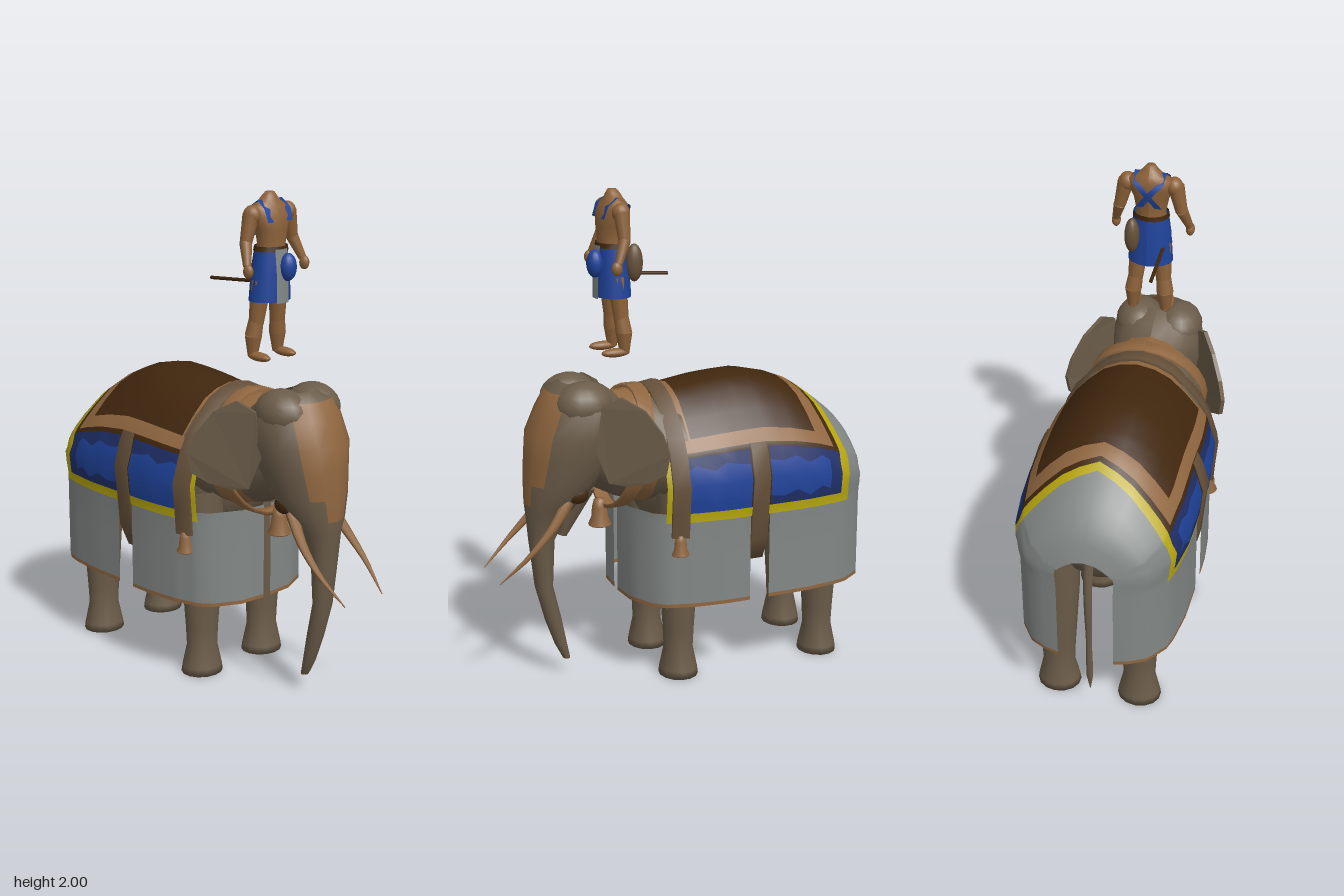
import * as THREE from 'three';

const mat = (name, color) => {
  const m = new THREE.MeshStandardMaterial({ color, side: THREE.DoubleSide });
  m.name = name;
  return m;
};
const V = (x, y, z) => new THREE.Vector3(x, y, z);

// linear interpolation in a table of [key, value] with falling keys
function table(t, k) {
  if (k >= t[0][0]) return t[0][1];
  for (let i = 1; i < t.length; i++) {
    const [k0, v0] = t[i - 1], [k1, v1] = t[i];
    if (k >= k1) return v0 + (v1 - v0) * (k0 - k) / (k0 - k1);
  }
  return t[t.length - 1][1];
}

export function createModel() {
  const group = new THREE.Group();
  const cloth = mat('greyCloth', 0x828785), hide = mat('hide', 0x6b5c49), tan = mat('tan', 0x8f663f);
  const dark = mat('darkBrown', 0x40260d), yellow = mat('yellow', 0xb8a70e), blue = mat('blue', 0x1f439a);
  const navy = mat('navy', 0x1f2f68), leather = mat('leather', 0x655039), skin = mat('riderSkin', 0x8d6239);

  const add = (name, geo, m, parent = group) => {
    const mesh = new THREE.Mesh(geo, m);
    mesh.name = name;
    parent.add(mesh);
    return mesh;
  };
  // grid surface; pick(i, j) gives the material of a cell, or null for a hole
  function grid(name, nu, nv, point, pick, parent = group) {
    const pos = [], buckets = new Map();
    for (let i = 0; i < nu; i++) for (let j = 0; j < nv; j++) pos.push(...point(i, j).toArray());
    for (let i = 0; i < nu - 1; i++) for (let j = 0; j < nv - 1; j++) {
      const m = pick(i, j);
      if (!m) continue;
      if (!buckets.has(m)) buckets.set(m, []);
      const a = i * nv + j, b = a + nv;
      buckets.get(m).push(a, b, a + 1, b, b + 1, a + 1);
    }
    const geo = new THREE.BufferGeometry(), index = [], mats = [];
    for (const [m, list] of buckets) {
      geo.addGroup(index.length, list.length, mats.length);
      index.push(...list);
      mats.push(m);
    }
    geo.setAttribute('position', new THREE.Float32BufferAttribute(pos, 3));
    geo.setIndex(index);
    geo.computeVertexNormals();
    return add(name, geo, mats, parent);
  }
  // upright loft from elliptical rings [y, zCentre, rx, rz]
  const loft = (name, rings, pick, parent, n = 16) => grid(name, rings.length, n + 1, (i, j) => {
    const [y, zc, rx, rz] = rings[i], a = ((j % n) / n) * Math.PI * 2 - Math.PI;
    return V(Math.sin(a) * rx, y, zc + Math.cos(a) * rz);
  }, pick, parent);
  function limb(name, a, b, r1, r2, m, parent = group) {
    const mesh = add(name, new THREE.CylinderGeometry(r2, r1, a.distanceTo(b), 10), m, parent);
    mesh.position.copy(a).lerp(b, 0.5);
    mesh.quaternion.setFromUnitVectors(V(0, 1, 0), b.clone().sub(a).normalize());
    return mesh;
  }
  function ball(name, p, s, m, parent = group) {
    const mesh = add(name, new THREE.SphereGeometry(1, 16, 12), m, parent);
    mesh.position.set(...p);
    mesh.scale.set(...s);
    return mesh;
  }
  // tapering round tube along a curve
  function horn(name, pts, r, m) {
    const c = new THREE.CatmullRomCurve3(pts), n = 10, f = c.computeFrenetFrames(n);
    return grid(name, n + 1, 9, (i, j) => {
      const a = ((j % 8) / 8) * Math.PI * 2, rad = r(i / n);
      return c.getPointAt(i / n).addScaledVector(f.normals[i], Math.cos(a) * rad)
        .addScaledVector(f.binormals[i], Math.sin(a) * rad);
    }, () => m);
  }

  // body and neck
  ball('body', [0, 0.83, -0.25], [0.3, 0.34, 0.46], hide);
  const neck = [[0.05, 0.95, 0.28, 0.22], [0.17, 0.96, 0.25, 0.235], [0.27, 0.97, 0.2, 0.22], [0.4, 1, 0.16, 0.18]];
  grid('neck', 4, 17, (i, j) => {
    const [z, y, rx, ry] = neck[i], a = (j % 16) / 16 * Math.PI * 2;
    return V(Math.sin(a) * rx, y + Math.cos(a) * ry, z);
  }, (i) => (i === 1 ? tan : hide));
  // slanting neck collar
  grid('collar', 4, 25, (i, j) => {
    const a = (j % 24) / 24 * Math.PI * 2, c = Math.cos(a), out = i % 3 ? 0.015 : 0;
    return V(Math.sin(a) * (0.235 + out), 0.96 + c * (0.235 + out), 0.235 - 0.06 * c + (i < 2 ? -0.03 : 0.03));
  }, () => tan);

  // head and trunk in one loft, with a tan face
  const head = [[1.25, 0.44, 0.07, 0.05], [1.22, 0.43, 0.15, 0.12], [1.15, 0.405, 0.187, 0.185], [1.05, 0.43, 0.197, 0.205],
    [0.95, 0.45, 0.175, 0.195], [0.85, 0.49, 0.15, 0.16], [0.76, 0.535, 0.11, 0.115], [0.7, 0.56, 0.075, 0.085],
    [0.6, 0.583, 0.056, 0.053], [0.4, 0.577, 0.043, 0.037], [0.25, 0.54, 0.034, 0.035], [0.14, 0.51, 0.026, 0.026],
    [0.07, 0.485, 0.018, 0.015], [0.068, 0.485, 0.001, 0.001]];
  loft('headAndTrunk', head, (i, j) => {
    const half = i >= 1 && i < 5 ? 2 : i === 5 ? 1 : 0;
    return j >= 8 - half && j < 8 + half ? tan : hide;
  });
  limb('lowerLip', V(0, 0.61, 0.495), V(0, 0.82, 0.44), 0.02, 0.09, hide);

  for (const s of [1, -1]) {
    ball('crownLobe', [s * 0.085, 1.165, 0.425], [0.1, 0.097, 0.12], hide);
    ball('cheekSpot', [s * 0.113, 0.805, 0.46], [0.018, 0.033, 0.042], dark);
    horn('tusk', [V(s * 0.1, 0.78, 0.5), V(s * 0.125, 0.68, 0.58), V(s * 0.13, 0.58, 0.68), V(s * 0.105, 0.475, 0.795)],
      (t) => 0.024 * (1 - t) + 0.002, tan);

    // ear: flat outline swept backwards from the head
    const outline = [[0.3, 1.22], [0.65, 1.17], [0.9, 1.08], [1, 1], [0.95, 0.92], [0.7, 0.88], [0.4, 0.86], [0.1, 0.87], [-0.1, 1], [0, 1.18]];
    const ear = new THREE.ExtrudeGeometry(new THREE.Shape(outline.map((p) => new THREE.Vector2(...p))),
      { depth: 0.014, bevelEnabled: false });
    const p = ear.attributes.position;
    for (let i = 0; i < p.count; i++) {
      const u = p.getX(i), d = p.getZ(i);
      p.setXYZ(i, s * (0.18 + 0.11 * u + 0.04 * u * u + d), p.getY(i), 0.38 - 0.225 * u + d * 0.6);
    }
    ear.computeVertexNormals();
    add('ear', ear, hide);

    // legs
    const leg = [[0.001, 0], [0.09, 0], [0.086, 0.03], [0.066, 0.12], [0.07, 0.2], [0.08, 0.34], [0.095, 0.55], [0.1, 0.8]];
    for (const [name, x, z] of [['frontLeg', 0.172, 0.055], ['backLeg', 0.172, -0.592]]) {
      const l = add(name, new THREE.LatheGeometry(leg.map((q) => new THREE.Vector2(...q)), 14), hide);
      l.position.set(s * x, 0, z);
      l.scale.z = 0.9;
    }
  }
  horn('tail', [V(0, 0.88, -0.7), V(0, 0.65, -0.74), V(0, 0.4, -0.735), V(0, 0.24, -0.735), V(0, 0.12, -0.73)],
    (t) => (t > 0.75 ? 0.02 - Math.abs(t - 0.85) * 0.12 : 0.022 - t * 0.014), hide);

  // shared shape of the draped cloth: ridge height, half width and side profile
  const ridge = [[0.26, 0.85], [0.2, 1.1], [0.155, 1.19], [0.05, 1.205], [-0.1, 1.228], [-0.27, 1.24], [-0.4, 1.21], [-0.5, 1.17],
    [-0.6, 1.105], [-0.7, 1.02], [-0.76, 0.94], [-0.79, 0.85]];
  const width = [[0.262, 0.02], [0.255, 0.14], [0.2, 0.26], [0.155, 0.3], [0.1, 0.318], [0.03, 0.337], [-0.1, 0.35], [-0.45, 0.35],
    [-0.6, 0.33], [-0.66, 0.312], [-0.74, 0.25], [-0.775, 0.18], [-0.79, 0.12]];
  const side = [[1.24, 0], [1.225, 0.22], [1.19, 0.42], [1.12, 0.62], [1.05, 0.78], [1, 0.875], [0.98, 0.9], [0.86, 1],
    [0.74, 0.97], [0.7, 0.95], [0.34, 0.95]];
  const dip = [[-0.4, 0], [-0.52, 0.06], [-0.655, 0.09], [-0.71, 0.06], [-0.76, 0.02], [-0.79, 0]];
  const drape = (z0, yr, s, off = 0) => {
    const f = table(side, yr), z = z0 + table(dip, z0) * Math.max(0, 1 - f / 0.9);
    const y = yr > 0.74 ? 0.74 + (yr - 0.74) * (table(ridge, z) - 0.74) / 0.5 : yr;
    return V(s * f * (table(width, z) + off), y + (yr > 1 ? off : 0), z);
  };
  const mirrorRows = (r) => [...r.map((y) => [y, 1]), ...r.slice(0, -1).reverse().map((y) => [y, -1])];

  // draped cloth with its saddle blanket pattern
  const zs = [0.262, 0.255, 0.23, 0.2, 0.155, 0.125, 0.07, 0.04, -0.04, -0.09, -0.14, -0.195, -0.28, -0.34, -0.4, -0.46, -0.52,
    -0.56, -0.59, -0.615, -0.655, -0.71, -0.74, -0.76, -0.775, -0.79];
  const rows = mirrorRows([0.34, 0.355, 0.55, 0.7, 0.74, 0.78, 0.86, 0.93, 0.98, 1, 1.05, 1.12, 1.19, 1.225, 1.24]);
  grid('drapedCloth', zs.length, rows.length, (i, j) => {
    const p = drape(zs[i], ...rows[j]);
    if (rows[j][0] === 0.78 || rows[j][0] === 0.93) p.y += 0.016 * Math.sin(zs[i] * 45);
    return p;
  }, (i, j) => {
    const z = (zs[i] + zs[i + 1]) / 2, y = (rows[j][0] + rows[j + 1][0]) / 2;
    const slot = z < -0.195 && z > -0.28;
    if (slot && y < 0.7) return null;
    if (y < 0.355) return tan;
    if (z > 0.155 && y > 0.74) return null;
    if (y < 0.7 || z < -0.655 || z > 0.155) return cloth;
    if (z > 0.125 || z < -0.615 || y < 0.74) return yellow;
    if (slot && y < 1) return dark;
    if (y < 0.98) {
      const edge = z < -0.56 || y > 0.93 || (y < 0.78 && z < -0.28);
      return z > 0.07 ? dark : edge ? navy : blue;
    }
    if (y < 1 || z < -0.59) return dark;
    return y < 1.05 || z > 0.04 || z < -0.52 ? tan : dark;
  });

  // shoulder strap with bells, and girth strap
  const strapRows = mirrorRows([0.64, 0.74, 0.86, 0.98, 1.05, 1.12, 1.19, 1.225, 1.24]);
  grid('shoulderStrap', 4, strapRows.length, (i, j) =>
    drape(i < 2 ? 0.07 : 0.135, ...strapRows[j], i % 3 ? 0.016 : 0), () => leather);
  const girth = [[0.31, 1], [0.33, 0.96], [0.36, 0.86], [0.348, 0.74], [0.335, 0.6], [0.29, 0.5], [0.15, 0.475], [0, 0.47]];
  const loop = [...girth, ...girth.slice(0, -1).reverse().map(([x, y]) => [-x, y])];
  grid('girthStrap', 4, loop.length, (i, j) => {
    const k = i % 3 ? 1 : 0.95;
    return V(loop[j][0] * k, loop[j][1] + (k < 1 && loop[j][1] < 0.55 ? 0.015 : 0), i < 2 ? -0.2 : -0.27);
  }, () => leather);
  const bellProfile = [[0.001, 0.09], [0.018, 0.085], [0.024, 0.06], [0.027, 0.025], [0.037, 0.004], [0.034, 0], [0.001, 0.012]]
    .map((q) => new THREE.Vector2(...q));
  for (const [x, y, z, k] of [[0.3, 0.565, 0.1, 1], [-0.3, 0.565, 0.1, 1], [0, 0.63, 0.33, 1.3]]) {
    const bell = add('bell', new THREE.LatheGeometry(bellProfile, 14), tan);
    bell.position.set(x, y, z);
    bell.scale.setScalar(k);
  }

  // rider
  const rider = new THREE.Group();
  rider.name = 'rider';
  group.add(rider);
  loft('torso', [[1.74, 0.27, 0.068, 0.055], [1.8, 0.272, 0.06, 0.05], [1.86, 0.272, 0.072, 0.055], [1.91, 0.265, 0.092, 0.06],
    [1.945, 0.258, 0.09, 0.05], [1.965, 0.258, 0.05, 0.038], [1.985, 0.26, 0.03, 0.028], [2, 0.262, 0.018, 0.018], [2, 0.262, 0.001, 0.001]],
  () => skin, rider);
  const kilt = [[1.79, 0.27, 0.07, 0.058], [1.7, 0.268, 0.083, 0.068], [1.58, 0.265, 0.092, 0.072]];
  loft('kilt', kilt, () => blue, rider);
  loft('belt', [[1.795, 0.27, 0.071, 0.059], [1.775, 0.27, 0.075, 0.062]], () => dark, rider);
  // grey cloth apron down the front of the kilt
  grid('apron', 3, 5, (i, j) => {
    const [y, zc, rx, rz] = kilt[i], x = (j - 2) * 0.016;
    return V(x, y - 0.005, zc + rz * Math.sqrt(1 - (x / rx) ** 2) + 0.005);
  }, () => cloth, rider);
  for (const s of [1, -1]) {
    // legs and feet
    limb('thigh', V(s * 0.058, 1.49, 0.25), V(s * 0.045, 1.66, 0.265), 0.03, 0.042, skin, rider);
    limb('calf', V(s * 0.066, 1.44, 0.243), V(s * 0.058, 1.5, 0.25), 0.034, 0.03, skin, rider);
    limb('shin', V(s * 0.068, 1.36, 0.242), V(s * 0.066, 1.44, 0.243), 0.02, 0.034, skin, rider);
    ball('foot', [s * 0.07, 1.363, 0.28], [0.024, 0.018, 0.06], skin, rider);
    // arms
    ball('shoulder', [s * 0.094, 1.918, 0.262], [0.034, 0.038, 0.036], skin, rider);
    limb('upperArm', V(s * 0.125, 1.81, 0.26), V(s * 0.1, 1.92, 0.262), 0.024, 0.033, skin, rider);
    limb('forearm', V(s * 0.15, 1.73, 0.295), V(s * 0.125, 1.815, 0.26), 0.016, 0.025, skin, rider);
    ball('hand', [s * 0.152, 1.712, 0.303], [0.018, 0.028, 0.022], skin, rider);
    // shoulder straps, crossing on the back
    const strap = [V(s * 0.05, 1.89, 0.322), V(s * 0.055, 1.94, 0.305), V(s * 0.05, 1.972, 0.262), V(s * 0.045, 1.94, 0.208),
      V(s * 0.01, 1.9, 0.2), V(s * -0.04, 1.83, 0.222)];
    grid('shoulderBand', strap.length, 2, (i, j) => strap[i].clone().add(V((j - 0.5) * 0.03, 0, 0)), () => blue, rider);
  }
  // pouch, sash knot and rod at the waist
  ball('pouch', [0.06, 1.715, 0.195], [0.03, 0.075, 0.035], leather, rider);
  ball('sashKnot', [0.02, 1.715, 0.345], [0.035, 0.055, 0.033], blue, rider);
  limb('rod', V(-0.06, 1.655, 0.22), V(-0.065, 1.638, 0), 0.007, 0.007, dark, rider);
  return group;
}
